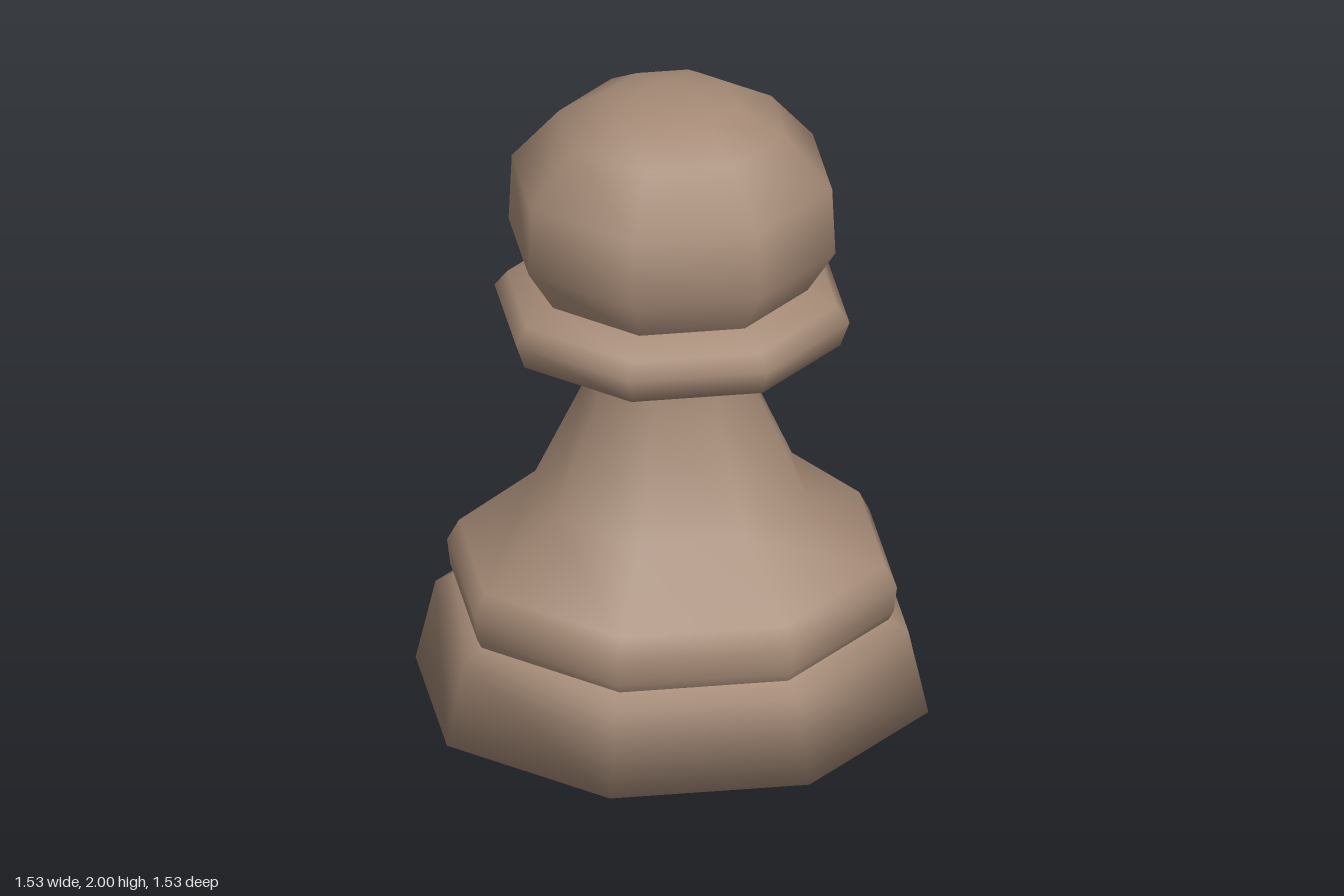
import * as THREE from 'three';

const SIDES = 8;
const TWIST = 0.2915; // turn of the octagon about the vertical axis

export function createModel() {
  const model = new THREE.Group();
  model.name = 'pawn';
  const wood = new THREE.MeshStandardMaterial({ color: 0xa58a76 });
  wood.name = 'brown wood';

  // Each part is an eight-sided turning with smooth normals; profile is [radius, height]
  const turn = (name, profile) => {
    const points = profile.map(([r, y]) => new THREE.Vector2(r, y));
    const mesh = new THREE.Mesh(new THREE.LatheGeometry(points, SIDES, TWIST), wood);
    mesh.name = name;
    model.add(mesh);
  };

  // Foot with closed underside, up to the groove
  turn('base', [[0, 0], [0.8, 0], [0.738, 0.265], [0.677, 0.3]]);

  // Rounded shoulder tapering into the neck
  turn('body', [
    [0.677, 0.3], [0.692, 0.33], [0.702, 0.41], [0.665, 0.48],
    [0.426, 0.675], [0.268, 1.01], [0.268, 1.21],
  ]);

  // Collar ring with flat underside
  turn('collar', [[0.268, 1.21], [0.525, 1.21], [0.554, 1.29], [0.515, 1.34], [0.423, 1.385]]);

  // Rounded head
  turn('head', [
    [0.423, 1.385], [0.51, 1.52], [0.5, 1.735], [0.353, 1.902],
    [0.207, 1.983], [0.09, 2], [0, 2],
  ]);

  return model;
}
